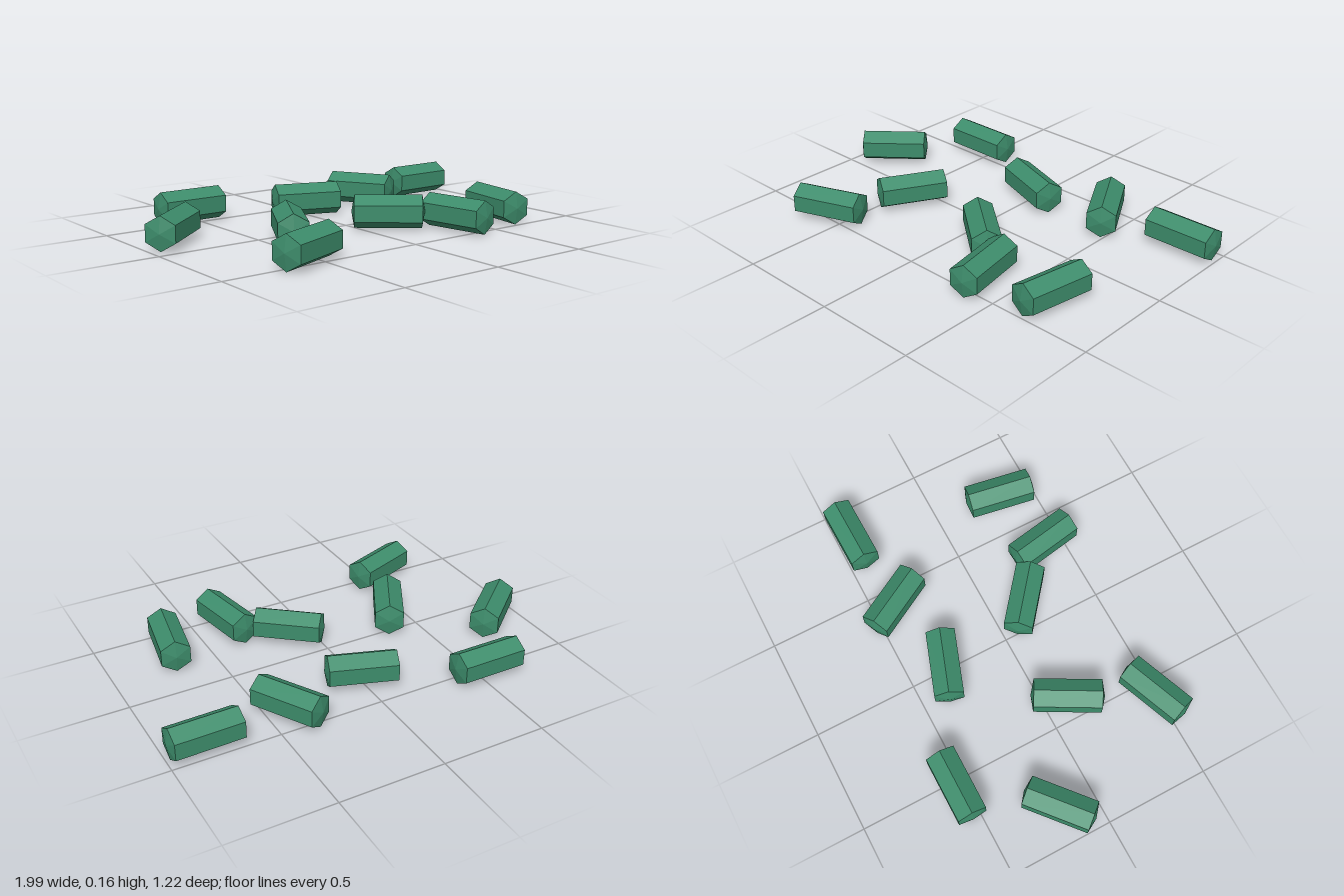
import * as THREE from 'three';

const RADIUS = 0.08;
const HALF_BODY = 0.16;
const HALF_TIP = 0.174;

// Hexagonal bar with shallow pointed ends, lying along x with a ridge on top
function crystalGeometry() {
  const profile = [
    [0, -HALF_TIP], [RADIUS, -HALF_BODY], [RADIUS, HALF_BODY], [0, HALF_TIP],
  ].map(([r, y]) => new THREE.Vector2(r, y));
  return new THREE.LatheGeometry(profile, 6)
    .rotateY(Math.PI / 6)
    .rotateZ(-Math.PI / 2);
}

export function createModel() {
  const group = new THREE.Group();
  group.name = 'scatteredCrystals';

  const green = new THREE.MeshStandardMaterial({ color: 0x3d8c6b, flatShading: true });
  green.name = 'crystal green';

  const geometry = crystalGeometry();

  // x, z and heading in degrees (from +x towards +z)
  const places = [
    [-0.535, -0.543, 0],
    [0.82, -0.428, -1],
    [-0.834, -0.171, -40.5],
    [0.002, -0.326, 19.3],
    [0.406, -0.393, 60.5],
    [-0.404, 0.11, -61],
    [0.123, 0.166, 39],
    [0.35, 0.393, 80],
    [0.679, 0.326, -80.3],
    [-0.575, 0.484, -21],
  ];

  places.forEach(([x, z, heading], i) => {
    const crystal = new THREE.Mesh(geometry, green);
    crystal.name = `crystal${i + 1}`;
    crystal.position.set(x, RADIUS, z);
    crystal.rotation.y = -THREE.MathUtils.degToRad(heading);
    group.add(crystal);
  });

  return group;
}
